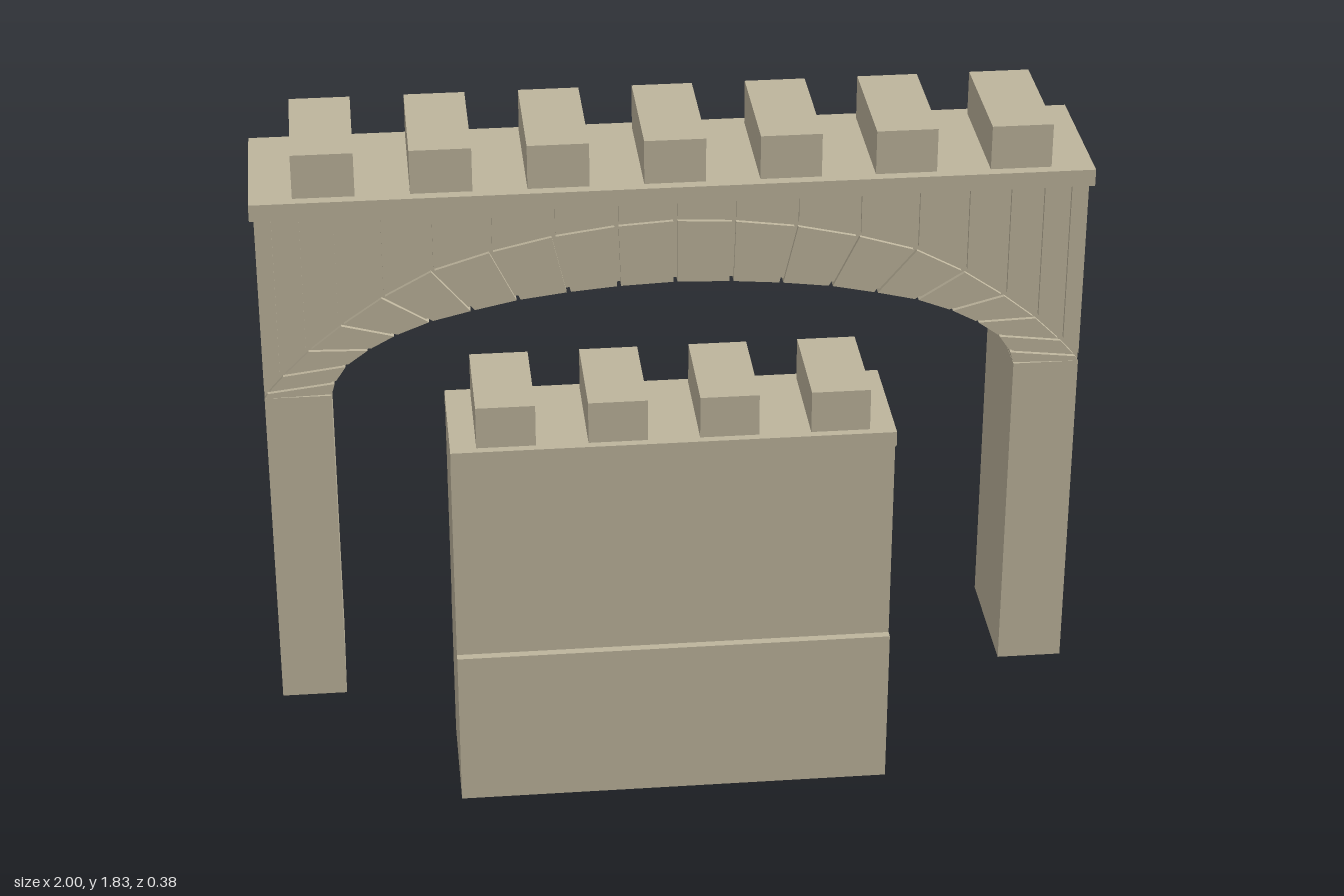
import * as THREE from 'three';

export function createModel() {
  const stone = new THREE.MeshStandardMaterial({ color: 0xbdb49c });
  const model = new THREE.Group();

  const box = (parent, name, w, y0, y1, halfDepth, x = 0) => {
    const mesh = new THREE.Mesh(new THREE.BoxGeometry(w, y1 - y0, halfDepth * 2), stone);
    mesh.position.set(x, (y0 + y1) / 2, 0);
    mesh.name = name;
    parent.add(mesh);
  };
  const slab = (parent, name, points, halfDepth) => {
    const shape = new THREE.Shape(points.map(([x, y]) => new THREE.Vector2(x, y)));
    const geometry = new THREE.ExtrudeGeometry(shape, { depth: halfDepth * 2, bevelEnabled: false });
    geometry.translate(0, 0, -halfDepth);
    const mesh = new THREE.Mesh(geometry, stone);
    mesh.name = name;
    parent.add(mesh);
  };
  // Moves a point a fixed distance towards another
  const toward = (a, b, d) => {
    const t = d / Math.hypot(b[0] - a[0], b[1] - a[1]);
    return [a[0] + (b[0] - a[0]) * t, a[1] + (b[1] - a[1]) * t];
  };
  const merlons = (parent, count, y, halfDepth) => {
    for (let i = 0; i < count; i++) {
      box(parent, 'merlon', 0.146, y, y + 0.11, halfDepth, (i - (count - 1) / 2) * 0.275);
    }
  };

  // Arch: half profiles from the crown to the springing
  const inner = [[0, 1.465], [0.135, 1.46], [0.255, 1.45], [0.375, 1.435], [0.485, 1.412],
    [0.585, 1.388], [0.67, 1.355], [0.735, 1.32], [0.79, 1.28], [0.82, 1.235], [0.83, 1.2]];
  const outer = [[0, 1.63], [0.14, 1.622], [0.29, 1.602], [0.44, 1.568], [0.58, 1.525],
    [0.7, 1.46], [0.8, 1.39], [0.88, 1.325], [0.945, 1.26], [0.985, 1.215], [0.99, 1.2]];
  const gap = 0.005, top = 1.68, edge = 0.99, depth = 0.17;
  const arch = new THREE.Group();
  arch.name = 'archedWall';
  model.add(arch);

  for (const side of [1, -1]) {
    const flip = points => points.map(([x, y]) => [x * side, y]);
    box(arch, 'pillar', 0.16, 0.35, 1.2, depth, side * 0.91);
    // Recessed mortar core behind the stones
    const core = inner.map((p, i) => toward(p, outer[i], 0.008));
    slab(arch, 'mortarCore', flip([...core, [edge, 1.2], [edge, top], [0, top]]), depth - 0.01);

    for (let i = 0; i < 10; i++) {
      const a = inner[i], b = inner[i + 1], c = outer[i + 1], d = outer[i];
      // Wedge stones of the arch ring, separated by narrow joints
      const g = Math.min(gap, Math.hypot(c[0] - d[0], c[1] - d[1]) * 0.25);
      const outD = toward(d, a, gap), outC = toward(c, b, i === 9 ? 0.0001 : gap);
      slab(arch, 'archStone', flip([toward(a, b, g), toward(b, a, g),
        toward(outC, outD, i === 9 ? 0 : g), toward(outD, outC, g)]), depth);
      // Upright filling stones above the ring
      if (i < 9) {
        const last = i === 8;
        const x0 = d[0] + gap, x1 = last ? edge : c[0] - gap;
        slab(arch, 'spandrelStone', flip([[x0, d[1] + gap], [x1, c[1] + gap], [x1, top], [x0, top]]), depth);
      }
    }
  }
  box(arch, 'archCornice', 2, top, 1.722, 0.19);
  merlons(arch, 7, 1.722, 0.163);

  // Free-standing wall under the arch
  const wall = new THREE.Group();
  wall.name = 'lowWall';
  model.add(wall);
  box(wall, 'wallBase', 1.1, 0, 0.425, 0.163);
  box(wall, 'wallBody', 1.1, 0.425, 0.98, 0.142);
  box(wall, 'wallCap', 1.1, 0.98, 1.02, 0.163);
  merlons(wall, 4, 1.02, 0.142);

  return model;
}
